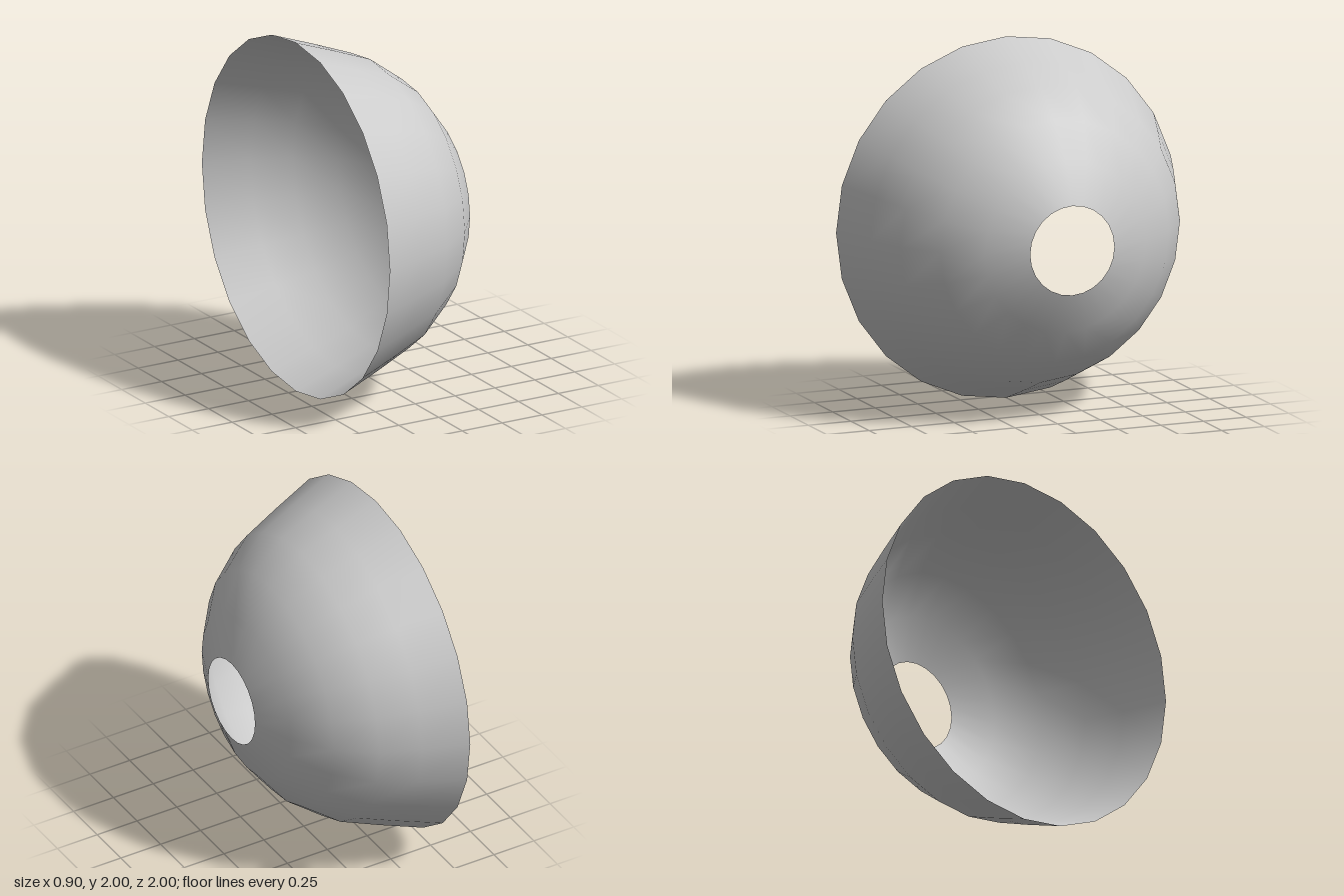
import * as THREE from 'three';

export function createModel() {
  const group = new THREE.Group();
  const material = new THREE.MeshStandardMaterial({ color: 0xcccccc, side: THREE.DoubleSide });

  // Profile from the wide rim to the small hole: [radius, position along the axis]
  const profile = [
    [1, -0.453], [0.907, -0.204], [0.821, 0.012],
    [0.672, 0.21], [0.473, 0.36], [0.247, 0.452],
  ].map(([r, a]) => new THREE.Vector2(r, a));

  // Thin open bowl, its axis turned to point along +x
  const bowl = new THREE.Mesh(new THREE.LatheGeometry(profile, 24), material);
  bowl.name = 'bowlShell';
  bowl.rotation.z = -Math.PI / 2;
  bowl.position.y = 1;
  group.add(bowl);

  return group;
}
